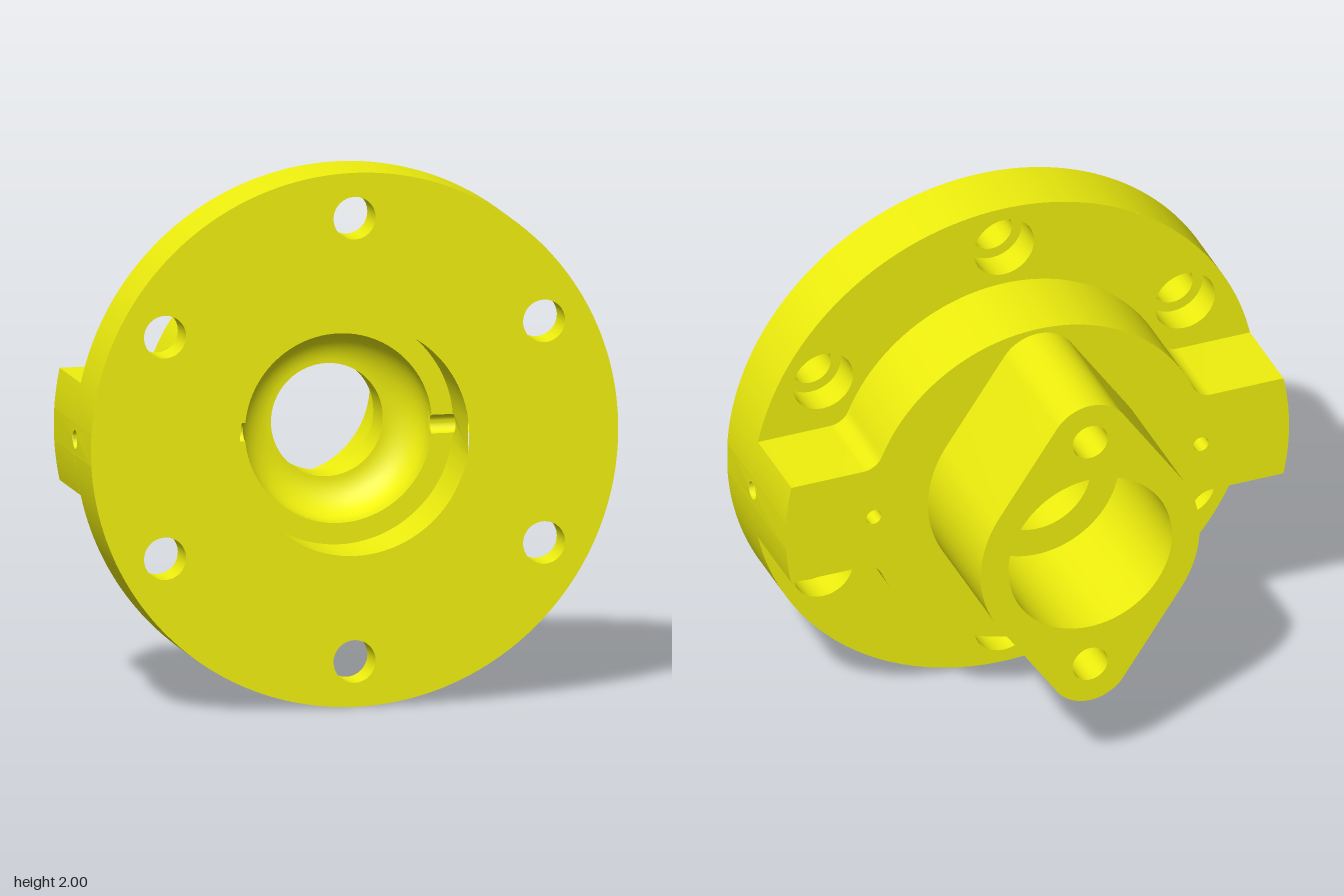
import * as THREE from 'three';
import { mergeGeometries, toCreasedNormals } from 'three/addons/utils/BufferGeometryUtils.js';

const PI = Math.PI;
const FRONT = 0.55, STEP = 0.3, HUB = -0.03, BACK = -0.55; // main z levels
const PIN = 0.035;                                         // cross pin hole radius

const arc = (cx, cy, r, a0, a1, n = 32) => Array.from({ length: n + 1 }, (_, i) => {
  const a = a0 + (a1 - a0) * i / n;
  return new THREE.Vector2(cx + r * Math.cos(a), cy + r * Math.sin(a));
});
const circle = (x, y, r, n = 32) => arc(x, y, r, 0, 2 * PI, n).slice(0, n);
const turn = pts => pts.map(p => new THREE.Vector2(-p.x, -p.y)); // half turn about z
const plain = g => {
  const n = g.index ? g.toNonIndexed() : g;
  n.deleteAttribute('uv');
  n.deleteAttribute('normal');
  return n;
};

// Flat face with holes, facing +z or -z
function cap(outline, holes, z, facing) {
  const shape = new THREE.Shape(outline);
  shape.holes = holes.map(h => new THREE.Path(h));
  const g = new THREE.ShapeGeometry(shape);
  if (facing < 0) g.index.array.reverse();
  return plain(g.translate(0, 0, z));
}

// Upright wall along a polyline, facing to the right of its direction
function wall(pts, z0, z1) {
  const v = [];
  for (let i = 0; i < pts.length - 1; i++) {
    const a = pts[i], b = pts[i + 1];
    v.push(a.x, a.y, z0, b.x, b.y, z0, b.x, b.y, z1, a.x, a.y, z0, b.x, b.y, z1, a.x, a.y, z1);
  }
  return new THREE.BufferGeometry().setAttribute('position', new THREE.Float32BufferAttribute(v, 3));
}

// Revolved surface about z; a profile of falling z faces inward
function turned(profile, x = 0, y = 0, n = 32) {
  const pts = profile.map(([r, z]) => new THREE.Vector2(r, z));
  return plain(new THREE.LatheGeometry(pts, n).rotateX(PI / 2).translate(x, y, 0));
}

// Strip of (y, z) outline bent onto a cylinder, at both the +x and -x side
function bentStrips(R, outline, holes, facing) {
  return [0, PI].map(angle => {
    const g = cap(outline, holes, 0, facing), p = g.attributes.position;
    for (let i = 0; i < p.count; i++) {
      const y = p.getX(i), z = p.getY(i);
      p.setXYZ(i, Math.sqrt(R * R - y * y), y, z);
    }
    return g.rotateZ(angle);
  });
}

const rect = (w, z0, z1) => [[-w, z0], [w, z0], [w, z1], [-w, z1]].map(p => new THREE.Vector2(...p));

export function createModel() {
  const model = new THREE.Group();
  const material = new THREE.MeshStandardMaterial({ color: 0xf0f00e });
  const add = (name, geos) => {
    const mesh = new THREE.Mesh(toCreasedNormals(mergeGeometries(geos).translate(0, 1, 0), 0.5), material);
    mesh.name = name;
    model.add(mesh);
  };
  const bolts = [0, 1, 2, 3, 4, 5].map(i => [0.83 * Math.cos(PI / 6 + i * PI / 3), 0.83 * Math.sin(PI / 6 + i * PI / 3)]);

  // Hub outline, upper half: lobe edge, fillet, round hub, mirrored fillet and lobe edge
  const lobeY = 0.21, hubR = 0.67, fillet = 0.08;
  const beta = Math.asin(lobeY);
  const fy = lobeY + fillet, fx = Math.sqrt((hubR + fillet) ** 2 - fy * fy), fa = Math.atan2(fy, fx);
  const side = [new THREE.Vector2(Math.cos(beta), lobeY), ...arc(fx, fy, fillet, -PI / 2, fa - PI, 10)];
  const upper = [...side, ...arc(0, 0, hubR, fa, PI - fa, 64).slice(1, -1),
    ...side.map(p => new THREE.Vector2(-p.x, p.y)).reverse()];
  const lower = turn(upper);
  const lobeEnd = arc(0, 0, 1, -beta, beta, 16);

  // Boss outline: rounded diamond
  const bossR = 0.435, tipR = 0.16, tipY = 0.49, th = Math.asin((bossR - tipR) / tipY);
  const bossHalf = [...arc(0, 0, bossR, -th, th, 24), ...arc(0, tipY, tipR, th, PI - th, 24)];
  const boss = [...bossHalf, ...turn(bossHalf)];

  // Flange disc
  const w = 0.06, a = Math.asin(w);
  const rim = arc(0, 0, 1, a, PI - a, 96);
  const backHalf = [...arc(0, 0, 1, beta, PI - beta, 80), ...upper.slice(1, -1).reverse()];
  const bores = bolts.map(([x, y]) => circle(x, y, 0.12));
  add('flange', [
    cap(circle(0, 0, 1, 192), [circle(0, 0, 0.435, 96), ...bolts.map(([x, y]) => circle(x, y, 0.08))], FRONT, 1),
    cap(backHalf, bores.slice(0, 3), STEP, -1),
    cap(turn(backHalf), bores.slice(3), STEP, -1),
    wall(rim, STEP, FRONT), wall(turn(rim), STEP, FRONT),
  ]);
  add('boltHoles', bolts.map(([x, y]) => turned([[0.08, FRONT], [0.08, 0.42], [0.12, 0.42], [0.12, STEP]], x, y)));

  // Hub with two side lobes
  const lobeArc = arc(0, 0, 1, a, beta, 8), lobeArc2 = arc(0, 0, 1, -beta, -a, 8);
  add('hub', [
    cap([...lobeEnd.slice(0, -1), ...upper, ...turn(lobeEnd).slice(1, -1), ...lower.slice(0, -1)],
      [boss, circle(0.65, 0, 0.03, 24), circle(-0.65, 0, 0.03, 24)], HUB, -1),
    ...[upper, lower, lobeArc, lobeArc2, turn(lobeArc), turn(lobeArc2)].map(p => wall(p, HUB, STEP)),
  ]);
  // Outer ends of the cross pin hole, through lobe and flange rim
  add('lobeEnds', bentStrips(1, rect(w, HUB, FRONT), [circle(0, STEP, PIN)], 1));
  add('lobeOilHoles', [-0.65, 0.65].map(x => turned([[0.03, 0.275], [0.03, HUB]], x, 0, 24)));

  // Rear boss and its two blind screw holes
  const screws = [-tipY, tipY];
  add('boss', [
    cap(boss, [circle(0, 0, 0.325, 96), ...screws.map(y => circle(0, y, 0.07))], BACK, -1),
    wall([...boss, boss[0]], BACK, HUB),
  ]);
  add('screwHoles', screws.map(y => turned([[0, -0.15], [0.07, -0.15], [0.07, BACK]], 0, y)));

  // Front recess with notched wall, split step floor and seat wall
  const R = 0.435, r = 0.355, seat = 0.26, nw = 0.06;
  const inner = (rad, z0, z1) => {
    const t = Math.asin(nw / rad), p = arc(0, 0, rad, PI - t, t, 48);
    return [wall(p, z0, z1), wall(turn(p), z0, z1)];
  };
  const V = (x, y) => new THREE.Vector2(x, y);
  const tR = Math.asin(PIN / R), tr = Math.asin(PIN / r);
  const floorHalf = [...arc(0, 0, R, tR, PI - tR, 48), ...arc(0, 0, r, PI - tr, tr, 48)];
  add('recess', [
    ...inner(R, STEP, FRONT),
    ...bentStrips(R, [V(nw, STEP), V(nw, FRONT), V(-nw, FRONT), V(-nw, STEP), ...arc(0, STEP, PIN, PI, 0, 16)], [], -1),
    cap(floorHalf, [], STEP, 1), cap(turn(floorHalf), [], STEP, 1),
    ...inner(r, seat, STEP),
    ...bentStrips(r, [V(-nw, STEP), V(-nw, seat), V(nw, seat), V(nw, STEP), ...arc(0, STEP, PIN, 0, -PI, 16)], [], -1),
  ]);

  // Rounded seat, through bore and rear counterbore
  const boreR = 0.212, f = r - boreR;
  add('bore', [turned([
    ...arc(boreR, seat, f, 0, -PI / 2, 16).map(p => [p.x, p.y]),
    [boreR, HUB], [0.325, HUB], [0.325, BACK],
  ], 0, 0, 96)]);

  // Cross pin hole: full round in the lobes, half groove over the step
  add('pinHole', [0, PI].flatMap(turnAngle => [
    wall(arc(0, 0, PIN, PI / 2, -PI / 2, 16), 0.354, 0.9995),
    wall(arc(0, 0, PIN, -PI / 2, -1.5 * PI, 16), 0.434, 0.9995),
  ].map(g => g.rotateY(PI / 2).translate(0, 0, STEP).rotateZ(turnAngle))));

  return model;
}
